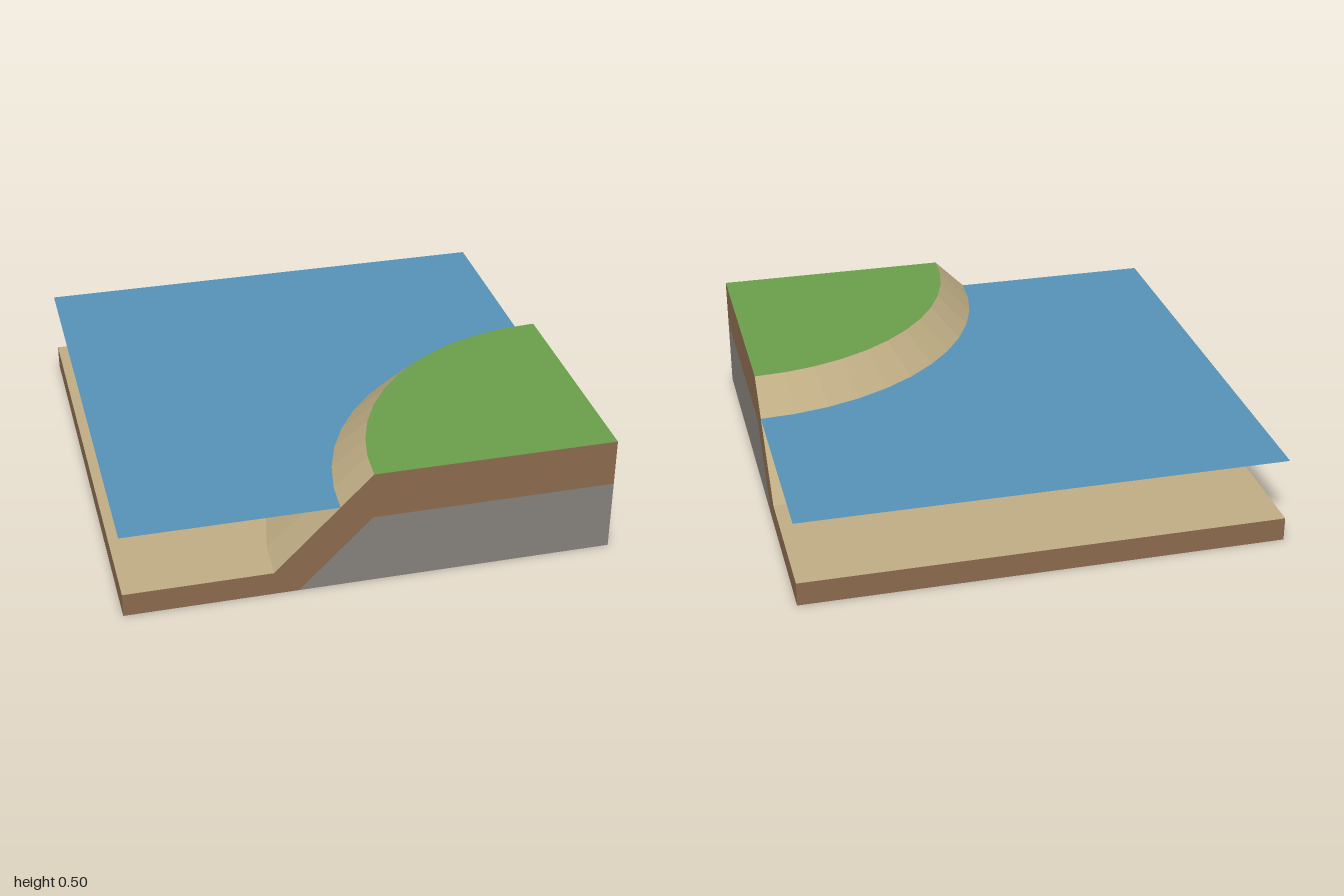
import * as THREE from 'three';

const SEGMENTS = 12; // facets along the quarter-round hill
const FLOOR = 0.1, WATER = 0.367, TOP = 0.5;

function material(name, color) {
  const m = new THREE.MeshStandardMaterial({ color, side: THREE.DoubleSide, flatShading: true });
  m.name = name;
  return m;
}

// Quarter arc around the front left corner, in plan coordinates (x, -z)
function arc(radius) {
  return Array.from({ length: SEGMENTS + 1 }, (_, i) => {
    const a = (Math.PI / 2) * (1 + i / SEGMENTS);
    return [1 + radius * Math.cos(a), -1 + radius * Math.sin(a)];
  });
}

function flat(points) {
  return new THREE.ShapeGeometry(new THREE.Shape(points.map(([x, y]) => new THREE.Vector2(x, y))));
}

function plan(points, y) {
  return flat(points).rotateX(-Math.PI / 2).translate(0, y, 0);
}

export function createModel() {
  const model = new THREE.Group();
  model.name = 'coastTile';

  const grass = material('grass', 0x6a9e4a);
  const sand = material('sand', 0xbfad84);
  const water = material('water', 0x5592b7);
  const earth = material('earth', 0x8b6b4e);
  const rock = material('rock', 0x86817b);

  const add = (name, geometry, mat) => {
    const mesh = new THREE.Mesh(geometry, mat);
    mesh.name = name;
    model.add(mesh);
  };

  // Square outline with the hill's corner cut away
  const aroundHill = (radius) => [[1, 1], ...arc(radius), [-1, -1], [-1, 1]];

  // Ground surfaces and water sheet
  add('grassTop', plan([[1, -1], ...arc(1)], TOP), grass);
  add('seabed', plan(aroundHill(1.4), FLOOR), sand);
  add('waterSheet', plan(aroundHill(1.067), WATER), water);

  // Sloping shore, faceted
  const slope = new THREE.LatheGeometry(
    [new THREE.Vector2(1.4, FLOOR), new THREE.Vector2(1, TOP)],
    SEGMENTS, Math.PI, Math.PI / 2
  ).translate(1, 0, 1);
  add('shoreSlope', slope, sand);

  // Cut faces on the front and left: earth layer above a rock core
  const earthCut = [[-1, 0], [-0.3, 0], [0, 0.3], [1, 0.3], [1, TOP], [0, TOP], [-0.4, FLOOR], [-1, FLOOR]];
  const rockCut = [[-0.3, 0], [1, 0], [1, 0.3], [0, 0.3]];
  for (const [name, points, mat] of [['Earth', earthCut, earth], ['Rock', rockCut, rock]]) {
    add('front' + name, flat(points).translate(0, 0, 1), mat);
    const mirrored = points.map(([x, y]) => [-x, y]);
    add('left' + name, flat(mirrored).translate(0, 0, 1).rotateY(Math.PI / 2), mat);
  }

  // Low edges on the back and right
  for (const [name, angle] of [['backEdge', Math.PI], ['rightEdge', -Math.PI / 2]]) {
    add(name, new THREE.PlaneGeometry(2, FLOOR).translate(0, FLOOR / 2, 1).rotateY(angle), earth);
  }

  return model;
}
